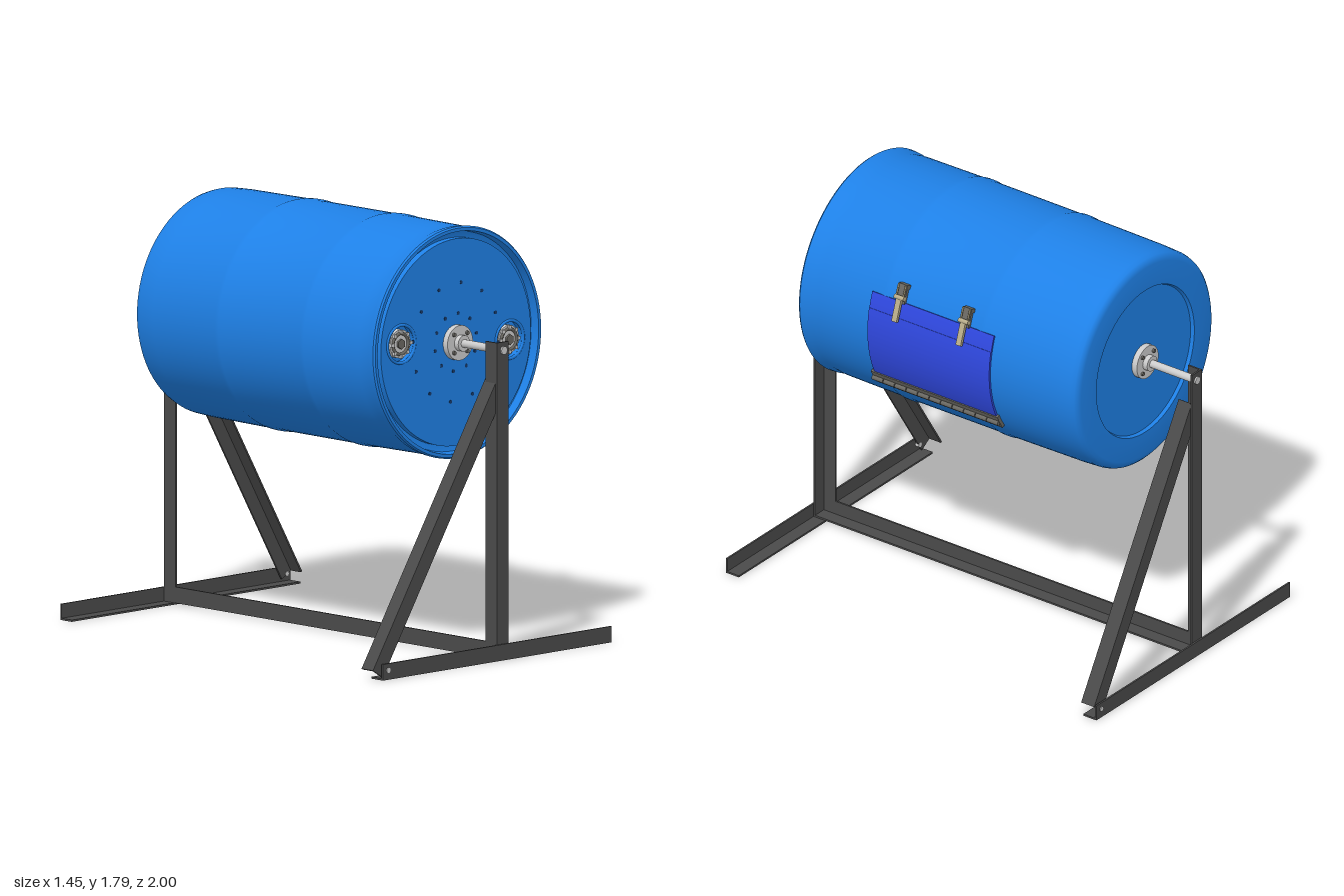
import * as THREE from 'three';
import { toCreasedNormals } from 'three/addons/utils/BufferGeometryUtils.js';

const CX = 0.022, CY = 1.305; // drum axis
const mat = (color) => new THREE.MeshStandardMaterial({ color, side: THREE.DoubleSide });
const V = (x, y, z) => new THREE.Vector3(x, y, z);

export function createModel() {
  const model = new THREE.Group();
  const steel = mat(0x4a4a4a), blue = mat(0x1e80e6), doorBlue = mat(0x2f48e0);
  const metal = mat(0xcccccc), hingeMetal = mat(0x6a6862), brass = mat(0xb8ac8a), dark = mat(0x163a6a);

  function add(parent, name, geo, material, x = 0, y = 0, z = 0) {
    const m = new THREE.Mesh(geo, material);
    m.name = name;
    m.position.set(x, y, z);
    parent.add(m);
    return m;
  }
  // cylinder lying along z
  const rod = (r, len, sides = 24) => new THREE.CylinderGeometry(r, r, len, sides).rotateX(Math.PI / 2);

  // L-section bar: its corner runs from start to end, flanges point along a and b
  function angleIron(name, start, end, a, b, w = 0.068, t = 0.008) {
    const shape = new THREE.Shape([[0, 0], [w, 0], [w, t], [t, t], [t, w], [0, w]].map((p) => new THREE.Vector2(...p)));
    const dir = end.clone().sub(start);
    const geo = new THREE.ExtrudeGeometry(shape, { depth: dir.length(), bevelEnabled: false });
    dir.normalize();
    if (a.clone().cross(b).dot(dir) < 0) [a, b] = [b, a];
    geo.applyMatrix4(new THREE.Matrix4().makeBasis(a, b, dir).setPosition(start));
    add(model, name, geo, steel);
  }

  // stand: one end frame at the front (s = 1) and one at the back (s = -1)
  const up = V(0, 1, 0), right = V(1, 0, 0);
  for (const s of [1, -1]) {
    const end = s > 0 ? 'front' : 'back';
    const inward = V(0, 0, -s);
    const [x0, x1] = s > 0 ? [-0.685, 0.645] : [-0.61, 0.72];
    angleIron(end + 'Foot', V(x0, 0, s * 0.995), V(x1, 0, s * 0.995), up, inward);
    angleIron(end + 'Post', V(-0.015, 0.008, s * 0.987), V(-0.015, 1.34, s * 0.987), right, inward);
    // diagonal brace, its corner along the upper edge
    const low = s > 0 ? V(-0.727, 0.045, 0.979) : V(0.714, 0.055, -0.979);
    const high = s > 0 ? V(-0.005, 1.185, 0.979) : V(0.045, 1.2, -0.979);
    const d = high.clone().sub(low).normalize();
    angleIron(end + 'Brace', low, high, V(s * d.y, -s * d.x, 0), inward);
    add(model, end + 'BraceBolt', rod(0.011, 0.03, 12), metal, s > 0 ? -0.655 : 0.685, 0.04, s * 0.984);
    // axle stub with its flange on the drum
    add(model, end + 'Axle', rod(0.017, 0.3), metal, CX, CY, s * 0.845);
    add(model, end + 'HubFlange', rod(0.074, 0.026, 32), metal, CX, CY, s * 0.719);
    add(model, end + 'HubCollar', rod(0.034, 0.03), metal, CX, CY, s * 0.74);
    for (let i = 0; i < 4; i++) {
      const a = (i + 0.5) * Math.PI / 2;
      add(model, end + 'HubBolt', rod(0.009, 0.012, 6), hingeMetal, CX + 0.054 * Math.cos(a), CY + 0.054 * Math.sin(a), s * 0.735);
    }
  }
  angleIron('baseRail', V(-0.015, 0.008, -0.98), V(-0.015, 0.008, 0.98), up, right);

  // drum and everything fixed to it, centred on the drum axis
  const drum = new THREE.Group();
  drum.name = 'drum';
  drum.position.set(CX, CY, 0);
  model.add(drum);

  const profile = [
    [0, -0.705], [0.33, -0.705], [0.336, -0.72], [0.44, -0.72], [0.458, -0.716], [0.47, -0.705], [0.476, -0.685],
    [0.48, -0.6], [0.484, -0.24], [0.488, -0.225], [0.488, -0.205], [0.484, -0.19],
    [0.485, 0.265], [0.489, 0.28], [0.489, 0.3], [0.485, 0.315],
    [0.482, 0.62], [0.478, 0.66], [0.486, 0.685], [0.488, 0.712], [0.482, 0.72], [0.468, 0.72],
    [0.462, 0.682], [0.44, 0.675], [0, 0.675],
  ].map((p) => new THREE.Vector2(...p));
  const shell = new THREE.LatheGeometry(profile, 96).rotateX(Math.PI / 2);
  add(drum, 'drumShell', toCreasedNormals(shell, 0.6), blue);

  // lid with two round openings for the bungs
  const bungs = [[-0.317, 0.03], [0.313, -0.027]];
  const lid = new THREE.Shape().absarc(0, 0, 0.436, 0, Math.PI * 2);
  for (const [x, y] of bungs) lid.holes.push(new THREE.Path().absarc(x, y, 0.078, 0, Math.PI * 2, true));
  const lidGeo = new THREE.ExtrudeGeometry(lid, { depth: 0.031, bevelEnabled: false, curveSegments: 64 });
  add(drum, 'lid', toCreasedNormals(lidGeo, 0.6), blue, 0, 0, 0.675);
  for (const [x, y] of bungs) {
    add(drum, 'bungRim', new THREE.TorusGeometry(0.08, 0.007, 8, 40), blue, x, y, 0.705);
    add(drum, 'bung', rod(0.06, 0.025, 32), metal, x, y, 0.688);
    add(drum, 'bungRing', new THREE.TorusGeometry(0.044, 0.007, 8, 32), hingeMetal, x, y, 0.701);
    add(drum, 'bungCentre', rod(0.022, 0.012, 6), hingeMetal, x, y, 0.704);
    for (let i = 0; i < 8; i++) {
      const a = i * Math.PI / 4;
      add(drum, 'bungLug', new THREE.BoxGeometry(0.014, 0.014, 0.012), metal, x + 0.053 * Math.cos(a), y + 0.053 * Math.sin(a), 0.704);
    }
  }

  // two rings of air holes
  for (const [radius, count, phase] of [[0.25, 12, 0.4], [0.122, 10, 0.2]]) {
    for (let i = 0; i < count; i++) {
      const a = phase + i * Math.PI * 2 / count;
      add(drum, 'airHole', rod(0.008, 0.003, 12), dark, radius * Math.cos(a), radius * Math.sin(a), 0.706);
    }
  }

  // curved panel following the drum wall; angles in degrees from +x
  function wallPanel(name, r0, r1, a0, a1, z0, z1, material) {
    const [b0, b1] = [a0, a1].map(THREE.MathUtils.degToRad);
    const shape = new THREE.Shape().absarc(0, 0, r1, b0, b1, false).absarc(0, 0, r0, b1, b0, true);
    const geo = new THREE.ExtrudeGeometry(shape, { depth: z1 - z0, bevelEnabled: false, curveSegments: 20 });
    add(drum, name, toCreasedNormals(geo, 0.6), material, 0, 0, z0);
  }
  wallPanel('door', 0.478, 0.493, -28, 12.5, -0.28, 0.355, doorBlue);
  wallPanel('doorTopStrip', 0.478, 0.491, 12.5, 20.8, -0.28, 0.355, doorBlue);

  // hinge below the door
  wallPanel('hingeLeaf', 0.48, 0.498, -34, -25.5, -0.29, 0.37, hingeMetal);
  const ha = THREE.MathUtils.degToRad(-29.5);
  for (let i = 0; i < 11; i++) {
    add(drum, 'hingeKnuckle', rod(0.011, 0.056, 12), hingeMetal, 0.502 * Math.cos(ha), 0.502 * Math.sin(ha), -0.26 + i * 0.06);
  }

  // two toggle latches, local x pointing away from the drum
  for (const z of [0.205, -0.13]) {
    const latch = new THREE.Group();
    latch.name = 'latch';
    latch.rotation.z = THREE.MathUtils.degToRad(19);
    latch.position.z = z;
    drum.add(latch);
    add(latch, 'latchBase', new THREE.BoxGeometry(0.014, 0.07, 0.044), hingeMetal, 0.492, 0.045, 0);
    add(latch, 'latchLever', new THREE.BoxGeometry(0.014, 0.1, 0.026), brass, 0.508, -0.02, 0);
    add(latch, 'latchPivot', rod(0.01, 0.05, 12), brass, 0.508, 0.035, 0);
    add(latch, 'latchHook', new THREE.BoxGeometry(0.026, 0.018, 0.046), hingeMetal, 0.49, 0.085, 0);
    for (const s of [-1, 1]) {
      add(latch, 'latchLink', new THREE.CylinderGeometry(0.004, 0.004, 0.06, 8), brass, 0.508, 0.062, s * 0.018);
    }
  }
  return model;
}
